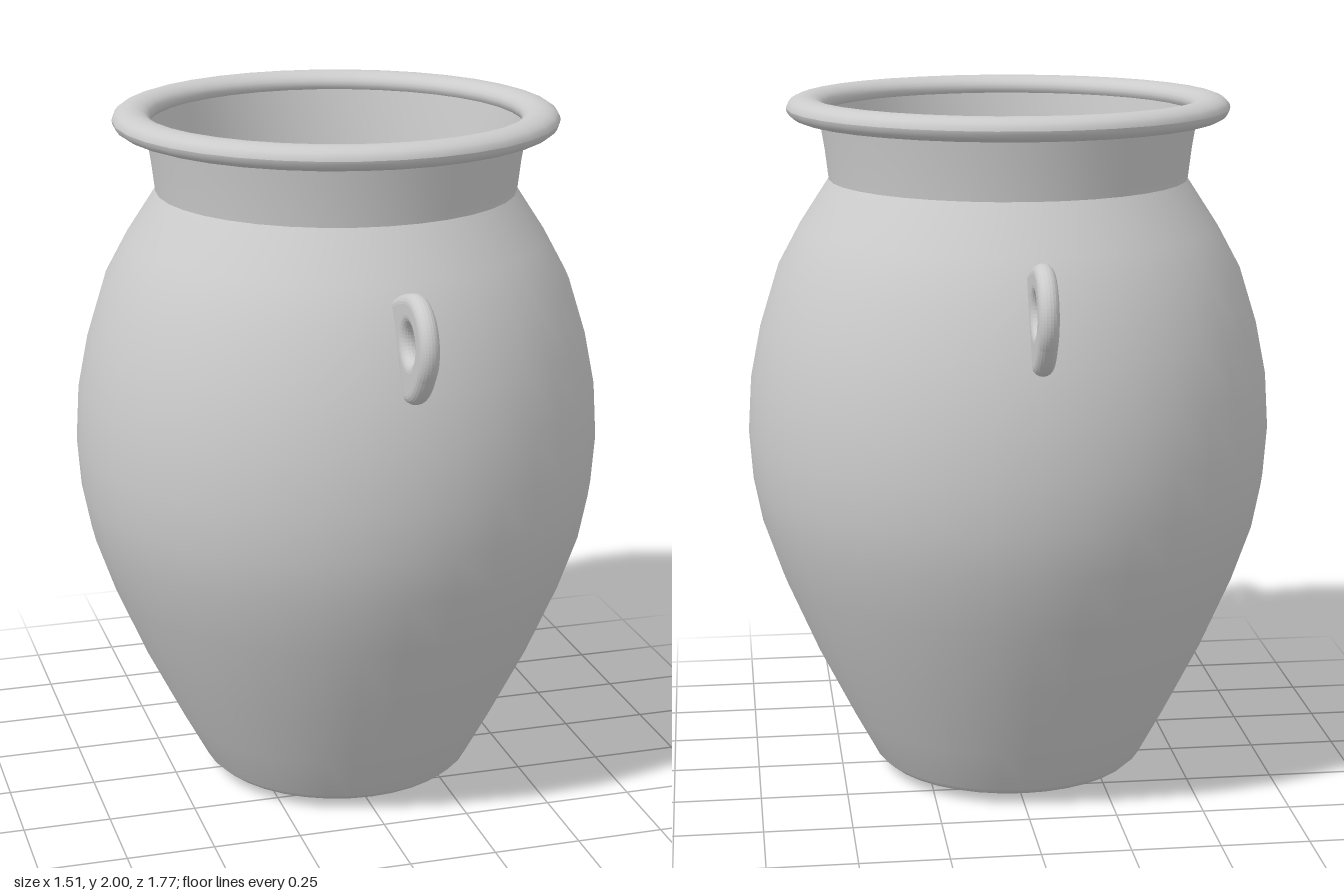
import * as THREE from 'three';

const SEGMENTS = 36;
const WALL = 0.012;
const material = new THREE.MeshStandardMaterial({ color: 0xcccccc, side: THREE.DoubleSide });

function addMesh(parent, name, geometry) {
  const mesh = new THREE.Mesh(geometry, material);
  mesh.name = name;
  parent.add(mesh);
  return mesh;
}

function lathe(points) {
  return new THREE.LatheGeometry(points.map(([r, y]) => new THREE.Vector2(r, y)), SEGMENTS);
}

// The same profile moved inwards and run downwards, for the inside of the wall
function inner(points) {
  return points.map(([r, y]) => [Math.max(r - WALL, 0), y < 0.1 ? y + WALL : y]).reverse();
}

// Pierced lug, drawn as (distance from axis, height), with rounded edges
function lugGeometry() {
  const bevel = 0.026;
  const cz = 0.757, cy = 1.51, r = 0.13 - bevel;
  const shape = new THREE.Shape();
  shape.moveTo(0.735, 1.366);
  shape.quadraticCurveTo(0.79, 1.37, cz + r * Math.cos(-0.7), cy + r * Math.sin(-0.7));
  shape.absarc(cz, cy, r, -0.7, Math.PI * 0.55, false);
  shape.quadraticCurveTo(0.68, 1.60, 0.632, 1.578);
  shape.lineTo(0.672, 1.49);
  shape.closePath();
  const hole = new THREE.Path();
  hole.absarc(cz, cy, 0.05 + bevel, 0, Math.PI * 2, true);
  shape.holes.push(hole);
  const geometry = new THREE.ExtrudeGeometry(shape, {
    depth: 0.002, curveSegments: 16,
    bevelEnabled: true, bevelSize: bevel, bevelThickness: bevel, bevelSegments: 5,
  });
  geometry.translate(0, 0, -0.001);
  geometry.rotateY(-Math.PI / 2);
  return geometry;
}

export function createModel() {
  const jar = new THREE.Group();
  jar.name = 'jar';

  // Bulging body with a shallow rounded foot
  const body = [
    [0, 0.005], [0.2, 0.012], [0.33, 0.022], [0.375, 0.034], [0.398, 0.055],
    [0.47, 0.19], [0.575, 0.4], [0.665, 0.61], [0.72, 0.77], [0.745, 0.9],
    [0.755, 1.04], [0.745, 1.2], [0.715, 1.35], [0.665, 1.51], [0.6, 1.63], [0.512, 1.765],
  ];
  addMesh(jar, 'bodyOutside', lathe(body));
  addMesh(jar, 'bodyInside', lathe(inner(body)));

  // Short flared neck
  const neck = [[0.512, 1.765], [0.522, 1.85], [0.538, 1.95]];
  addMesh(jar, 'neckOutside', lathe(neck));
  addMesh(jar, 'neckInside', lathe(inner(neck)));

  // Rolled rim: a flattened ring section swept round the mouth
  const rim = [];
  for (let i = 0; i <= 20; i++) {
    const a = (i / 20) * Math.PI * 2;
    rim.push([0.576 + 0.053 * Math.cos(a), 1.966 + 0.034 * Math.sin(a)]);
  }
  addMesh(jar, 'rim', lathe(rim));

  // Lugs at front and back
  const lug = lugGeometry();
  addMesh(jar, 'frontLug', lug);
  addMesh(jar, 'backLug', lug).rotation.y = Math.PI;

  return jar;
}
